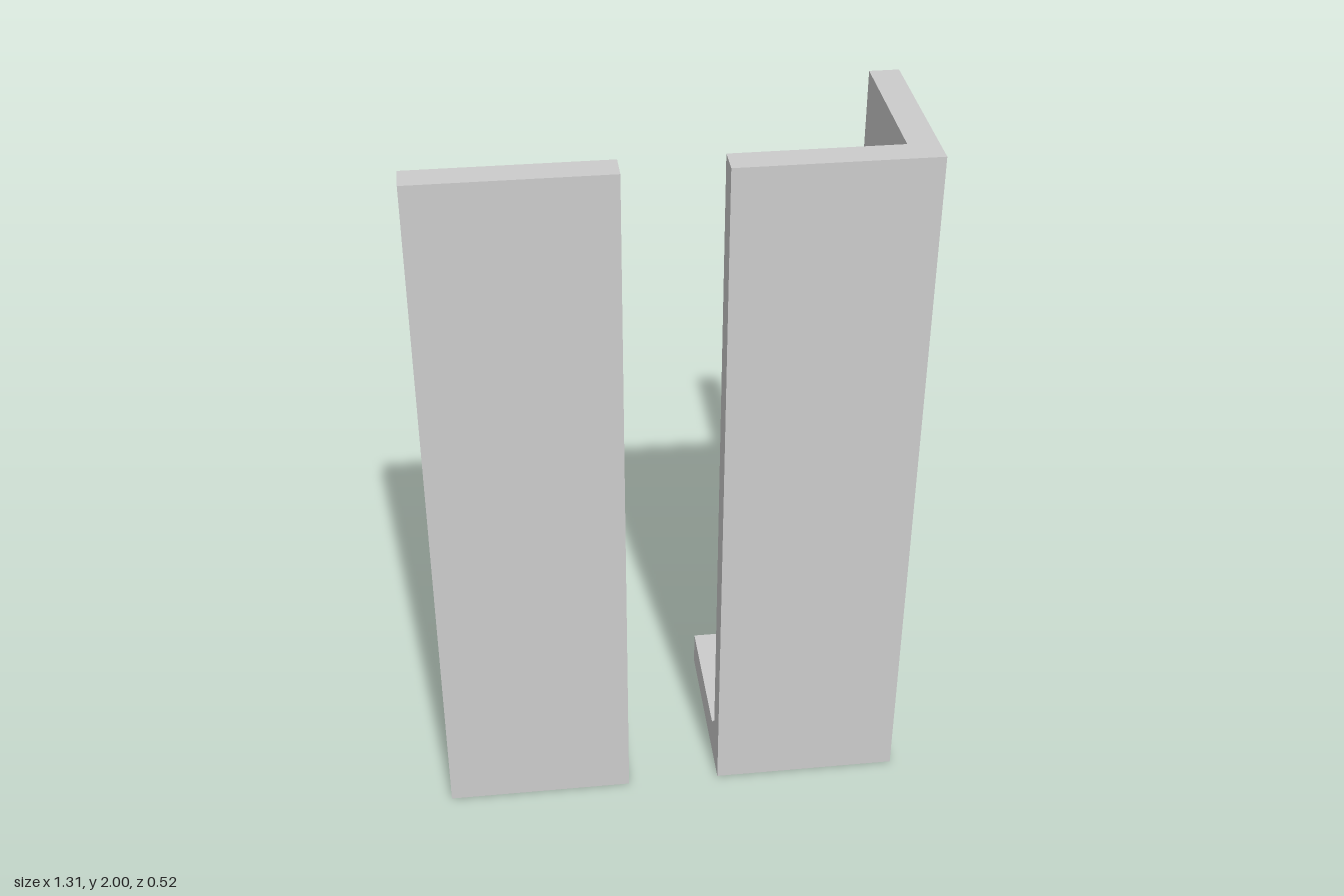
import * as THREE from 'three';

const H = 0.2625; // half of the square footprint
const CENTER = 0.395; // distance of each piece from the middle

// Cross-section: inset from the outer wall face, height
const PROFILE = [
  [0, 0], [0, 2], [0.08, 2], [0.08, 0.15], [0.125, 0.105], [2 * H, 0.105], [2 * H, 0],
];

// Sweeps the profile through stations; each maps an inset to a floor position [x, z]
function sweep(stations) {
  const rings = stations.map((at) => PROFILE.map(([d, y]) => {
    const [x, z] = at(d);
    return new THREE.Vector3(x, y, z);
  }));
  const pos = [];
  const tri = (a, b, c) => {
    if (new THREE.Triangle(a, b, c).getArea() < 1e-7) return; // collapsed at the mitre
    for (const p of [a, b, c]) pos.push(p.x, p.y, p.z);
  };
  const n = PROFILE.length;
  for (let s = 0; s < rings.length - 1; s++) {
    const p = rings[s], q = rings[s + 1];
    for (let i = 0; i < n; i++) {
      const j = (i + 1) % n;
      tri(p[i], p[j], q[i]);
      tri(p[j], q[j], q[i]);
    }
  }
  // End caps, fanned from the outer bottom corner
  const first = rings[0], last = rings[rings.length - 1];
  for (let i = 1; i < n - 1; i++) {
    tri(first[0], first[i + 1], first[i]);
    tri(last[0], last[i], last[i + 1]);
  }
  const geo = new THREE.BufferGeometry();
  geo.setAttribute('position', new THREE.Float32BufferAttribute(pos, 3));
  geo.computeVertexNormals();
  return geo;
}

export function createModel() {
  const group = new THREE.Group();
  const material = new THREE.MeshStandardMaterial({ color: 0xcccccc, flatShading: true });
  const add = (name, x, stations) => {
    const mesh = new THREE.Mesh(sweep(stations), material);
    mesh.name = name;
    mesh.position.x = x;
    group.add(mesh);
  };

  // Single wall with a chamfered foot
  add('straightWall', -CENTER, [(d) => [H, H - d], (d) => [-H, H - d]]);

  // Two walls meeting at a mitred outer corner over a shared foot
  add('cornerWall', CENTER, [
    (d) => [H - d, -H],
    (d) => [H - d, H - d],
    (d) => [-H, H - d],
  ]);

  return group;
}
